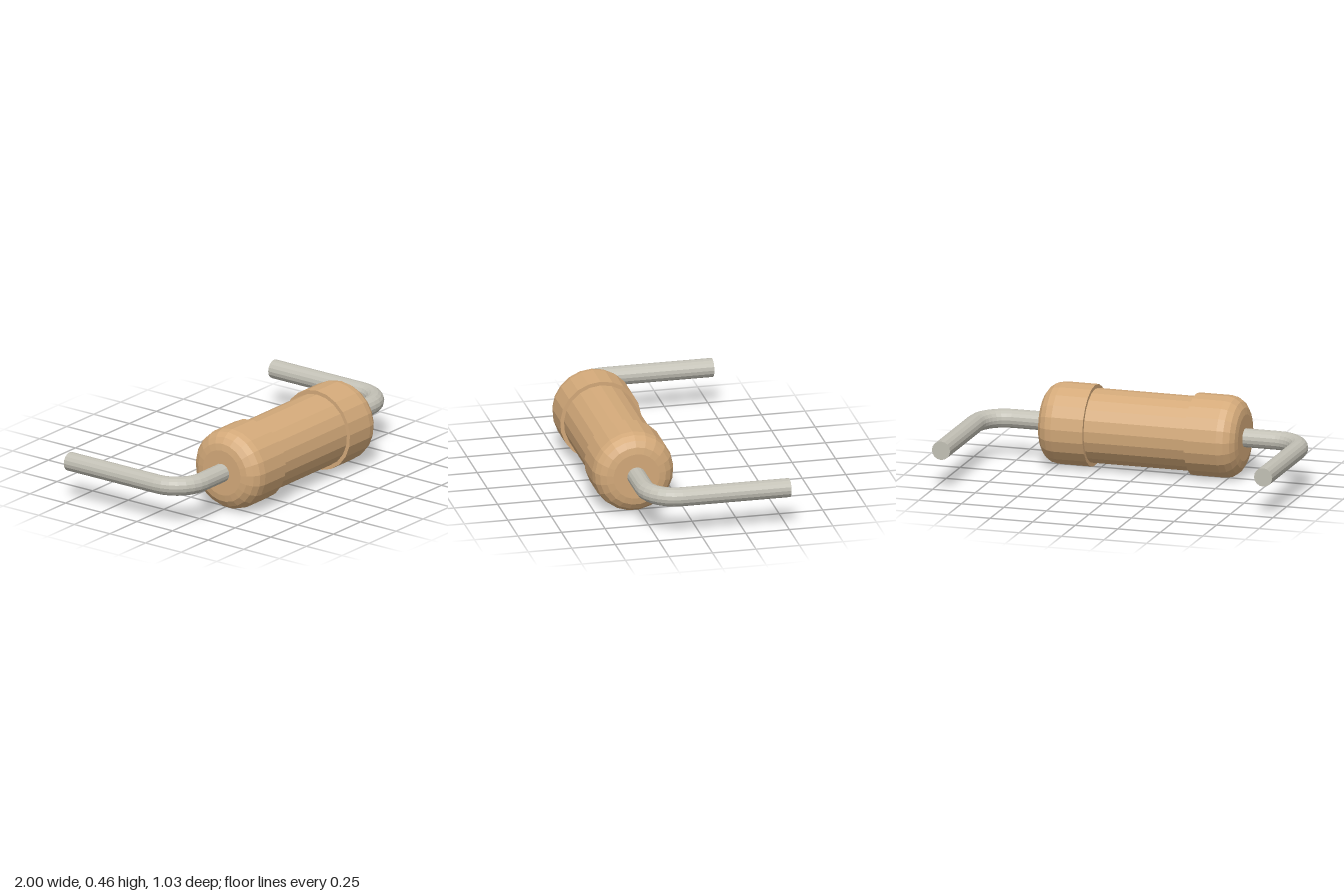
import * as THREE from 'three';

const AXIS_Y = 0.23, AXIS_Z = 0.28;

export function createModel() {
  const tan = new THREE.MeshStandardMaterial({ color: 0xd4aa7a, flatShading: true });
  tan.name = 'tan ceramic';
  const metal = new THREE.MeshStandardMaterial({ color: 0xc2c0b5, flatShading: true });
  metal.name = 'grey metal';

  const model = new THREE.Group();
  model.name = 'resistor';

  const add = (parent, name, geometry, material) => {
    const mesh = new THREE.Mesh(geometry, material);
    mesh.name = name;
    parent.add(mesh);
    return mesh;
  };

  // Body: a lathe along x with a rounded, slightly wider cap at each end
  const R = 0.2328, CORE = 0.211, HALF = 0.585, STEP = 0.297, FILLET = 0.1;
  const half = [[CORE, STEP], [R, STEP]];
  for (let i = 0; i <= 4; i++) {
    const a = (i / 4) * Math.PI / 2;
    half.push([R - FILLET + FILLET * Math.cos(a), HALF - FILLET + FILLET * Math.sin(a)]);
  }
  half.push([0, HALF]);
  const profile = [
    ...half.map(([r, d]) => new THREE.Vector2(r, -d)).reverse(),
    ...half.map(([r, d]) => new THREE.Vector2(r, d)),
  ];
  const bodyGeometry = new THREE.LatheGeometry(profile, 21, Math.PI / 2).rotateZ(Math.PI / 2);
  add(model, 'body', bodyGeometry, tan).position.set(0, AXIS_Y, AXIS_Z);

  // Leads: a straight stub, a quarter bend and a long leg to the back
  const WIRE = 0.0535, BEND = 0.1715, SIDES = 16;
  const bendX = 1 - WIRE - BEND, bendZ = AXIS_Z - BEND, backZ = -0.5135;
  const stubStart = HALF - 0.05;
  for (const [side, name] of [[1, 'leftLead'], [-1, 'rightLead']]) {
    const lead = new THREE.Group();
    lead.name = name;
    lead.position.y = AXIS_Y + 0.001;
    model.add(lead);

    const stub = new THREE.CylinderGeometry(WIRE, WIRE, bendX - stubStart, SIDES, 1, true).rotateZ(Math.PI / 2);
    add(lead, 'stub', stub, metal).position.set(side * (bendX + stubStart) / 2, 0, AXIS_Z);

    const bend = new THREE.TorusGeometry(BEND, WIRE, SIDES, 7, Math.PI / 2);
    if (side < 0) bend.rotateZ(Math.PI / 2);
    bend.rotateX(Math.PI / 2);
    add(lead, 'bend', bend, metal).position.set(side * bendX, 0, bendZ);

    const leg = new THREE.CylinderGeometry(WIRE, WIRE, bendZ - backZ, SIDES).rotateX(Math.PI / 2);
    add(lead, 'leg', leg, metal).position.set(side * (1 - WIRE), 0, (bendZ + backZ) / 2);
  }
  return model;
}
